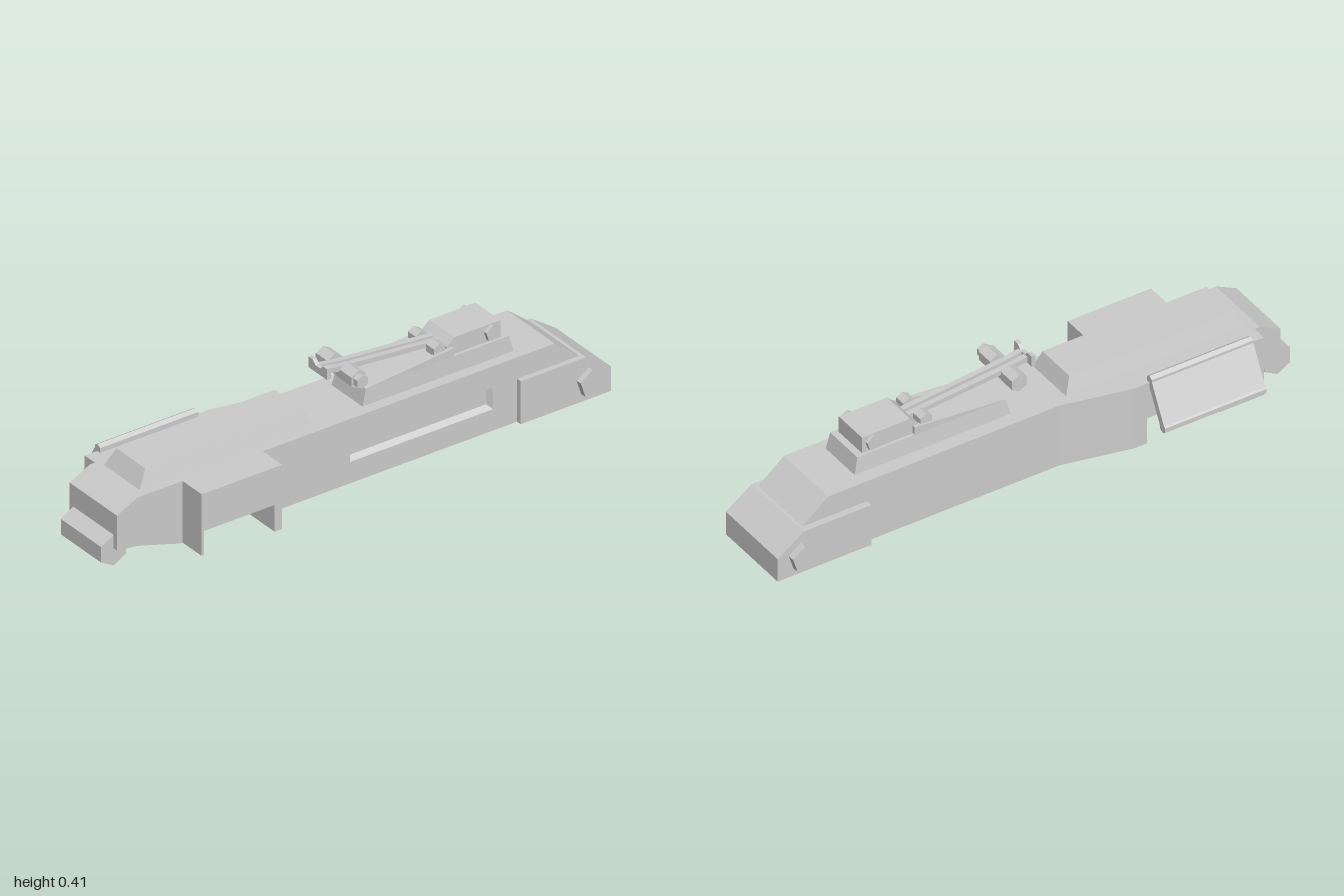
import * as THREE from 'three';

const mat = new THREE.MeshStandardMaterial({ color: 0xcccccc, flatShading: true });
const openMat = new THREE.MeshStandardMaterial({ color: 0xcccccc, flatShading: true, side: THREE.DoubleSide });
const V = (pts) => pts.map(([a, b]) => new THREE.Vector2(a, b));

export function createModel() {
  const model = new THREE.Group();
  const add = (name, geo, m = mat) => {
    const mesh = new THREE.Mesh(geo, m);
    mesh.name = name;
    model.add(mesh);
    return mesh;
  };
  const extrude = (pts, depth, hole) => {
    const shape = new THREE.Shape(V(pts));
    if (hole) shape.holes.push(new THREE.Path(V(hole)));
    return new THREE.ExtrudeGeometry(shape, { depth, bevelEnabled: false });
  };
  // side profile of [z, y] points, spanning x0..x1
  const flip = (pts) => pts && pts.map(([a, b]) => [-a, b]);
  const alongX = (pts, x0, x1, hole) =>
    extrude(flip(pts), x1 - x0, flip(hole)).rotateY(Math.PI / 2).translate(x0, 0, 0);
  // plan of [x, z] points, spanning y0..y1
  const down = (pts) => pts && pts.map(([a, b]) => [a, -b]);
  const alongY = (pts, y0, y1, hole) =>
    extrude(down(pts), y1 - y0, down(hole)).rotateX(-Math.PI / 2).translate(0, y0, 0);
  const rect = (a0, a1, b0, b1) => [[a0, b0], [a1, b0], [a1, b1], [a0, b1]];
  const box = (x0, x1, y0, y1, z0, z1) => alongX(rect(z0, z1, y0, y1), x0, x1);
  // regular polygon with a corner at the top
  const ngon = (a, b, r, n) => Array.from({ length: n }, (_, i) => {
    const t = (i / n) * Math.PI * 2;
    return [a + r * Math.sin(t), b + r * Math.cos(t)];
  });
  // tapered block between two rectangles [x0, x1, z0, z1]; open leaves off both caps
  const taper = (low, high, y0, y1, open = false) => {
    const g = new THREE.BoxGeometry(1, 1, 1);
    const p = g.attributes.position;
    for (let i = 0; i < p.count; i++) {
      const r = p.getY(i) > 0 ? high : low;
      p.setXYZ(i, r[p.getX(i) > 0 ? 1 : 0], p.getY(i) > 0 ? y1 : y0, r[p.getZ(i) > 0 ? 3 : 2]);
    }
    if (open) g.setIndex(Array.from(g.index.array).filter((_, i) => i < 12 || i >= 24));
    g.computeVertexNormals();
    return g;
  };

  // main body: core, pierced right skin and pierced floor
  const bodyProfile = (floor) => [
    [0.4, floor], [0.4, 0.1], [0.68, 0.1], [0.68, 0.01], [0.7, 0.01], [0.87, 0.06],
    [0.95, 0.07], [0.95, 0.2], [0.87, 0.24], [-0.79, 0.24], [-0.9, 0.15], [-0.9, floor],
  ];
  const sideSlot = rect(-0.545, 0.025, 0.08, 0.16);
  const floorSlot = rect(-0.03, 0.07, -0.6, 0.1);
  add('bodyCore', alongX(bodyProfile(0.02), -0.11, 0.13));
  add('bodySide', alongX(bodyProfile(0), 0.13, 0.15, sideSlot));
  add('bodyFloor', alongY(rect(-0.11, 0.13, -0.9, 0.4), 0, 0.02, floorSlot));
  add('sideRecess', taper([-0.147, -0.093, -0.532, 0.012], [-0.16, -0.08, -0.545, 0.025], 0.13, 0.15, true)
    .rotateZ(-Math.PI / 2), openMat);
  add('floorRecess', taper([-0.03, 0.07, -0.6, 0.1], [-0.02, 0.06, -0.59, 0.09], 0, 0.02, true), openMat);

  // swelling on the right flank of the model
  add('flankUpper', alongY([[-0.11, 0.1], [-0.165, 0.35], [-0.165, 0.85], [-0.11, 0.85]], 0.1, 0.24));
  add('flankLower', alongY([[-0.11, 0.1], [-0.165, 0.35], [-0.165, 0.4], [-0.11, 0.4]], 0, 0.1));
  add('flankFront', box(-0.165, -0.11, 0.01, 0.1, 0.68, 0.85));

  // notched block on the left side
  add('sideBlock', alongX([
    [0.69, 0.01], [0.69, 0.24], [0.37, 0.24], [0.37, 0], [0.4, 0], [0.4, 0.1], [0.68, 0.1], [0.68, 0.01],
  ], 0.15, 0.255));

  // front hinge and top lid
  add('frontHinge', alongX(ngon(0.95, 0.0625, 0.0575, 6), -0.09, 0.13));
  add('lid', taper([-0.08, 0.115, 0.145, 0.835], [-0.06, 0.097, 0.17, 0.8], 0.24, 0.3));

  // rear housing with its cross pin
  add('rearHousing', alongX([[-0.64, 0], [-0.64, 0.16], [-0.9, 0.16], [-1, 0.09], [-1, 0]], -0.135, 0.17));
  add('rearPin', alongX(ngon(-0.91, 0.07, 0.05, 5), -0.16, 0.193));

  // open hinged cover
  const coverTop = [-0.164, 0.249], coverLow = [-0.242, 0.103];
  const n = [0.011, -0.006];
  const cover = extrude([
    [coverTop[0] + n[0], coverTop[1] + n[1]], [coverTop[0] - n[0], coverTop[1] - n[1]],
    [coverLow[0] - n[0], coverLow[1] - n[1]], [coverLow[0] + n[0], coverLow[1] + n[1]],
  ], 0.39);
  add('coverPlate', cover.translate(0, 0, 0.41));
  [coverTop, coverLow].forEach(([x, y]) =>
    add('coverRod', extrude(ngon(x, y, 0.017, 6), 0.39).translate(0, 0, 0.41)));

  // rear sight: base, rails, hinge block and pivots
  add('sightBase', taper([-0.06, 0.11, -0.655, -0.055], [-0.053, 0.107, -0.64, -0.07], 0.24, 0.3));
  [[-0.053, -0.035], [0.09, 0.107]].forEach(([a, b]) =>
    add('sightRail', alongX([[-0.07, 0.3], [-0.42, 0.3], [-0.42, 0.33], [-0.36, 0.325]], a, b)));
  add('sightBlock', alongX([
    [-0.4, 0.3], [-0.4, 0.335], [-0.43, 0.362], [-0.615, 0.362], [-0.615, 0.3],
  ], -0.042, 0.095));
  add('sightPin', alongX(ngon(-0.575, 0.333, 0.029, 5), -0.055, 0.11));
  [[-0.045, -0.003], [0.055, 0.097]].forEach(([a, b]) =>
    add('sightPivot', alongX(ngon(-0.37, 0.333, 0.026, 6), a, b)));

  // sight leaf, notch plate and slider
  const leaf = [[0.055, 0.37], [0.055, 0.39], [-0.02, 0.378], [-0.41, 0.342], [-0.41, 0.325], [-0.02, 0.36]];
  [[0.0, 0.02], [0.033, 0.053]].forEach(([a, b]) => add('sightLeaf', alongX(leaf, a, b)));
  add('notchPlate', extrude([
    [-0.024, 0.365], [0.078, 0.365], [0.078, 0.405], [0.055, 0.405],
    [0.041, 0.39], [0.014, 0.39], [0, 0.405], [-0.024, 0.405],
  ], 0.015).translate(0, 0, 0.048));
  [[-0.07, -0.005], [0.06, 0.125]].forEach(([a, b]) =>
    add('slider', alongX(ngon(-0.028, 0.358, 0.033, 6), a, b)));
  add('sliderBridge', box(-0.005, 0.06, 0.335, 0.363, -0.05, -0.008));
  add('sliderKnob', alongX(ngon(-0.028, 0.358, 0.024, 6), 0.125, 0.147));

  return model;
}
